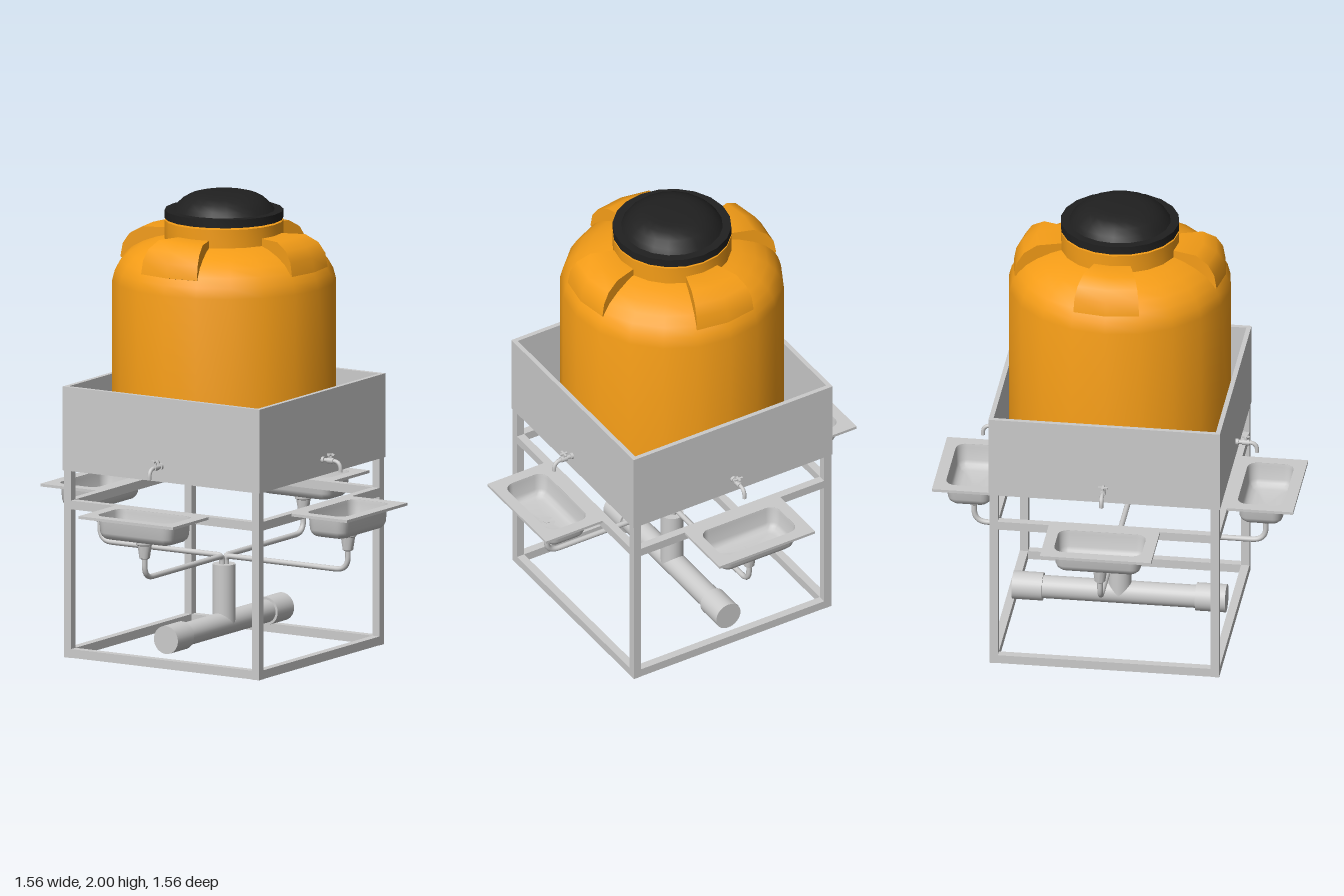
import * as THREE from 'three';
import { toCreasedNormals } from 'three/addons/utils/BufferGeometryUtils.js';

const mat = (color) => new THREE.MeshStandardMaterial({ color, side: THREE.DoubleSide });
const grey = mat(0xcccccc), orange = mat(0xf59d17), black = mat(0x202020);
const SEG = Math.PI / 10; // the tank has 20 sides
const vecs = (pts) => pts.map((p) => new THREE.Vector2(...p));

function add(parent, name, geometry, material, x = 0, y = 0, z = 0) {
  const mesh = new THREE.Mesh(geometry, material);
  mesh.name = name;
  mesh.position.set(x, y, z);
  parent.add(mesh);
  return mesh;
}
const box = (parent, name, w, h, d, x, y, z) => add(parent, name, new THREE.BoxGeometry(w, h, d), grey, x, y, z);
const lathe = (pts, sides = 20) => toCreasedNormals(new THREE.LatheGeometry(vecs(pts), sides), 0.6);

// Rounded rectangle outline, centred on the origin
function roundedOutline(w, d, r) {
  const pts = [];
  [[1, 1], [-1, 1], [-1, -1], [1, -1]].forEach(([sx, sy], q) => {
    for (let i = 0; i <= 6; i++) {
      const a = (q + i / 6) * Math.PI / 2;
      pts.push([sx * (w / 2 - r) + r * Math.cos(a), sy * (d / 2 - r) + r * Math.sin(a)]);
    }
  });
  return pts;
}

// Sink bowl lofted through shrinking rounded rectangles
function bowlGeometry() {
  const rings = [[0, 0.685], [0.002, 0.672], [0.006, 0.612], [0.012, 0.597], [0.024, 0.585], [0.042, 0.58]];
  const pos = [], idx = [];
  let n = 0;
  for (const [inset, y] of rings) {
    const outline = roundedOutline(0.2 - inset * 2, 0.38 - inset * 2, 0.045 - inset * 0.6);
    n = outline.length;
    for (const [x, z] of outline) pos.push(x, y, z);
  }
  for (let k = 0; k < rings.length - 1; k++) {
    for (let i = 0; i < n; i++) {
      const a = k * n + i, b = k * n + (i + 1) % n;
      idx.push(a, b, a + n, b, b + n, a + n);
    }
  }
  const centre = pos.length / 3, last = centre - n;
  pos.push(0, 0.58, 0);
  for (let i = 0; i < n; i++) idx.push(last + i, last + (i + 1) % n, centre);
  const g = new THREE.BufferGeometry();
  g.setAttribute('position', new THREE.Float32BufferAttribute(pos, 3));
  g.setIndex(idx);
  return toCreasedNormals(g, 0.7);
}

// Pipe with rounded bends through corner points in the xy plane
function pipe(points, bend, radius) {
  const v = points.map((p) => new THREE.Vector3(p[0], p[1], 0));
  const path = new THREE.CurvePath();
  let start = v[0];
  for (let i = 1; i < v.length - 1; i++) {
    const a = v[i].clone().add(v[i - 1].clone().sub(v[i]).setLength(bend[i - 1]));
    const b = v[i].clone().add(v[i + 1].clone().sub(v[i]).setLength(bend[i - 1]));
    path.add(new THREE.LineCurve3(start, a));
    path.add(new THREE.QuadraticBezierCurve3(a, v[i], b));
    start = b;
  }
  path.add(new THREE.LineCurve3(start, v[v.length - 1]));
  return new THREE.TubeGeometry(path, 80, radius, 10);
}

// Sink, drain and tap for one side, built towards +x
function washStation() {
  const g = new THREE.Group();
  g.name = 'washStation';
  const plate = new THREE.Shape(vecs([[-0.15, -0.24], [0.15, -0.24], [0.15, 0.24], [-0.15, 0.24]]));
  plate.holes.push(new THREE.Path(vecs(roundedOutline(0.2, 0.38, 0.045))));
  const rim = new THREE.ExtrudeGeometry(plate, { depth: 0.012, bevelEnabled: false }).rotateX(-Math.PI / 2);
  add(g, 'sinkRim', rim, grey, 0.63, 0.674, 0);
  add(g, 'sinkBowl', bowlGeometry(), grey, 0.63);
  add(g, 'drainHole', new THREE.CylinderGeometry(0.013, 0.013, 0.003, 16), grey, 0.63, 0.581, 0);
  add(g, 'drainTrap', lathe([[0, 0.58], [0.037, 0.58], [0.037, 0.565], [0.031, 0.56], [0.023, 0.505], [0.016, 0.5], [0, 0.5]], 16), grey, 0.63);
  add(g, 'drainPipe', pipe([[0.63, 0.51], [0.63, 0.415], [0.012, 0.415], [0.012, 0.37]], [0.06, 0.02], 0.012), grey);

  // Tap
  add(g, 'tapSpout', pipe([[0.49, 0.883], [0.592, 0.883], [0.592, 0.838]], [0.035], 0.009), grey);
  add(g, 'tapCollar', new THREE.CylinderGeometry(0.014, 0.014, 0.012, 12).rotateZ(Math.PI / 2), grey, 0.506, 0.883, 0);
  add(g, 'tapBody', new THREE.CylinderGeometry(0.013, 0.013, 0.03, 12).rotateZ(Math.PI / 2), grey, 0.544, 0.883, 0);
  add(g, 'tapStem', new THREE.CylinderGeometry(0.006, 0.008, 0.03, 10), grey, 0.544, 0.895, 0);
  box(g, 'tapHandle', 0.034, 0.007, 0.009, 0.544, 0.909, 0);
  box(g, 'tapHandle', 0.009, 0.007, 0.04, 0.544, 0.909, 0);
  return g;
}

// Raised wedge on the tank shoulder, two sides wide
function shoulderPanel() {
  const g = new THREE.Group();
  g.name = 'shoulderPanel';
  const profile = [[0.25, 1.78], [0.4, 1.68], [0.459, 1.695], [0.448, 1.755], [0.418, 1.8], [0.36, 1.832], [0.25, 1.832]];
  const skin = new THREE.LatheGeometry(vecs(profile), 2, -SEG, 2 * SEG);
  add(g, 'panelSkin', toCreasedNormals(skin, 0.65), orange);
  for (const phi of [-SEG, SEG]) {
    const side = new THREE.ShapeGeometry(new THREE.Shape(vecs(profile)));
    add(g, 'panelSide', side.rotateY(phi - Math.PI / 2), orange);
  }
  return g;
}

export function createModel() {
  const model = new THREE.Group();
  model.name = 'handWashStation';

  // Stand: four legs with bottom and middle rails
  const stand = new THREE.Group();
  stand.name = 'stand';
  model.add(stand);
  const c = 0.478, t = 0.036;
  for (const s of [-1, 1]) {
    for (const q of [-1, 1]) box(stand, 'leg', t, 0.815, t, s * c, 0.4075, q * c);
    for (const y of [0.02, 0.667]) {
      box(stand, 'rail', 2 * c - t, t + 0.002, t, 0, y, s * c);
      box(stand, 'rail', t, t + 0.002, 2 * c - t, s * c, y, 0);
    }
  }

  // Open tray that holds the tank
  const tray = new THREE.Group();
  tray.name = 'tray';
  model.add(tray);
  box(tray, 'trayFloor', 0.96, 0.02, 0.96, 0, 0.825, 0);
  for (const s of [-1, 1]) {
    box(tray, 'trayWall', 1, 0.365, 0.02, 0, 0.9975, s * 0.49);
    box(tray, 'trayWall', 0.02, 0.365, 0.96, s * 0.49, 0.9975, 0);
  }

  // Tank body, shoulder and neck
  add(model, 'tank', lathe([[0, 0.836], [0.48, 0.836], [0.48, 1.62], [0.468, 1.665], [0.445, 1.705], [0.41, 1.74],
    [0.36, 1.768], [0.3, 1.79], [0.255, 1.8], [0.255, 1.88], [0, 1.88]]), orange);

  // Lid
  add(model, 'lid', lathe([[0, 1.875], [0.21, 1.875], [0.21, 1.888], [0.255, 1.888], [0.255, 1.924], [0.218, 1.924], [0.204, 1.945],
    [0.178, 1.97], [0.145, 1.988], [0.11, 1.997], [0.075, 2], [0, 2]]), black);

  // Four stations and shoulder panels around the sides
  for (let i = 0; i < 4; i++) {
    for (const part of [washStation(), shoulderPanel()]) {
      part.rotation.y = i * Math.PI / 2;
      model.add(part);
    }
  }

  // Waste pipe running front to back
  const waste = new THREE.Group();
  waste.name = 'wastePipe';
  model.add(waste);
  const cyl = (r, h) => new THREE.CylinderGeometry(r, r, h, 32);
  add(waste, 'downPipe', cyl(0.05, 0.26), grey, 0, 0.25, 0);
  add(waste, 'mainPipe', cyl(0.05, 0.9).rotateX(Math.PI / 2), grey, 0, 0.12, 0);
  for (const s of [-1, 1]) add(waste, 'endSleeve', cyl(0.061, 0.13).rotateX(Math.PI / 2), grey, 0, 0.12, s * 0.396);
  return model;
}
